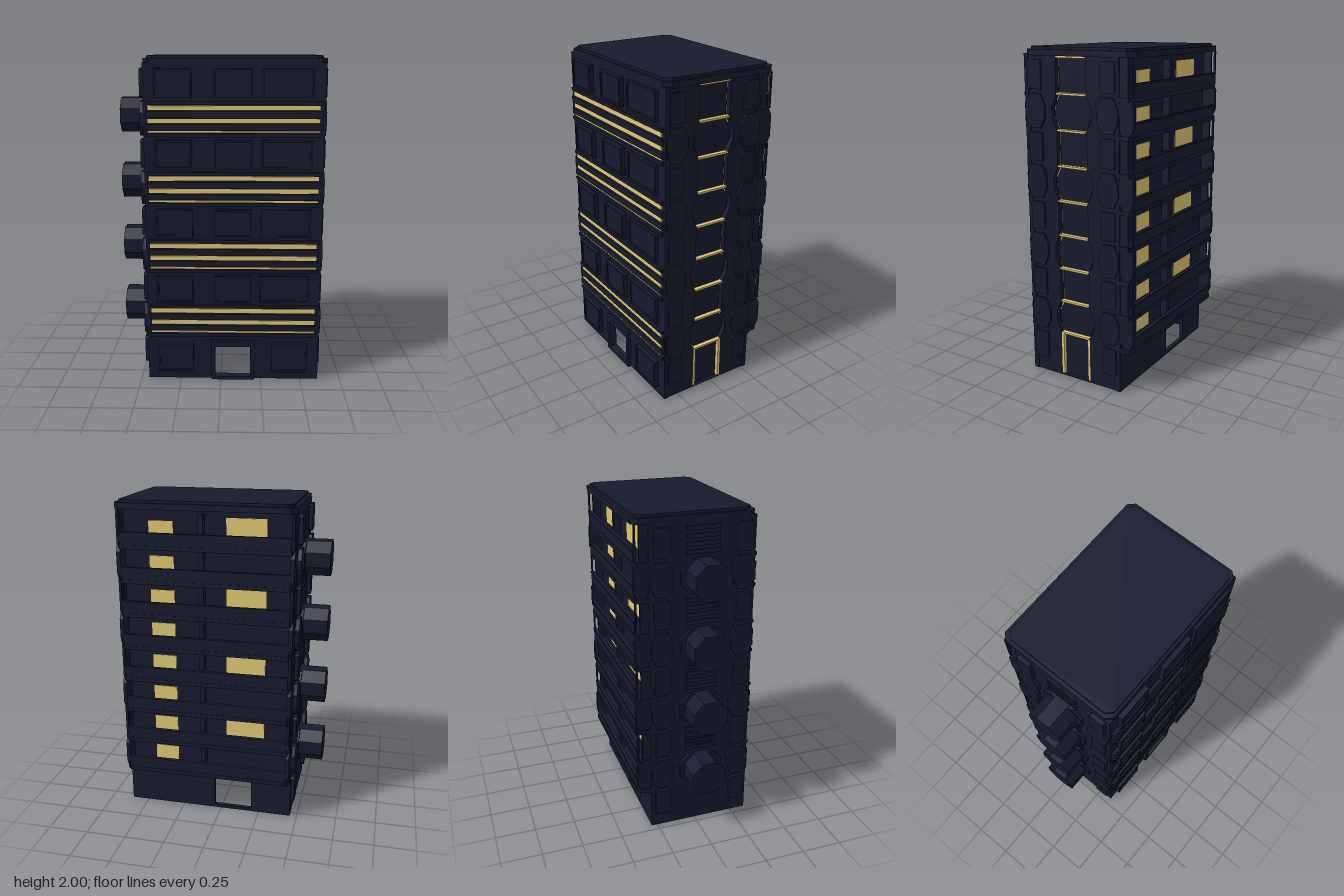
import * as THREE from 'three';

const navy = new THREE.MeshStandardMaterial({ color: 0x171a2d, side: THREE.DoubleSide });
const glow = new THREE.MeshStandardMaterial({ color: 0xe0c870, side: THREE.DoubleSide });
const FLOOR = 0.208, BASE = 0.285, FLOORS = 8;
const Z_MID = 0.03; // centre line of the side columns

export function createModel() {
  const root = new THREE.Group();
  root.name = 'apartmentTower';

  const add = (name, geo, mat = navy) => {
    const mesh = new THREE.Mesh(geo, mat);
    mesh.name = name;
    root.add(mesh);
    return mesh;
  };
  // Box given by its limits
  const box = (name, x0, x1, y0, y1, z0, z1, mat) => {
    const g = new THREE.BoxGeometry(x1 - x0, y1 - y0, z1 - z0);
    g.translate((x0 + x1) / 2, (y0 + y1) / 2, (z0 + z1) / 2);
    return add(name, g, mat);
  };
  const toShape = (pts, holes = []) => {
    const s = new THREE.Shape(pts.map(p => new THREE.Vector2(...p)));
    for (const h of holes) s.holes.push(new THREE.Path(h.map(p => new THREE.Vector2(...p))));
    return s;
  };
  const extrude = (shape, depth) => new THREE.ExtrudeGeometry(shape, { depth, bevelEnabled: false });
  const rect = (a0, a1, b0, b1) => [[a0, b0], [a1, b0], [a1, b1], [a0, b1]];
  const chamfered = (a0, a1, b0, b1, ca, cb = ca) => [
    [a0 + ca, b0], [a1 - ca, b0], [a1, b0 + cb], [a1, b1 - cb],
    [a1 - ca, b1], [a0 + ca, b1], [a0, b1 - cb], [a0, b0 + cb]];
  // Plate from x,y points, thick in z
  const facePlate = (name, pts, z0, z1, holes, mat) =>
    add(name, extrude(toShape(pts, holes), z1 - z0).translate(0, 0, z0), mat);
  // Plate from z,y points, thick in x
  const sidePlate = (name, pts, x0, x1, holes = [], mat) => {
    const flip = list => list.map(([z, y]) => [-z, y]);
    const g = extrude(toShape(flip(pts), holes.map(flip)), x1 - x0);
    return add(name, g.rotateY(Math.PI / 2).translate(x0, 0, 0), mat);
  };
  // Plate from x,z points, thick in y
  const planPlate = (name, pts, y0, y1) => {
    const g = extrude(toShape(pts.map(([x, z]) => [x, -z])), y1 - y0);
    return add(name, g.rotateX(-Math.PI / 2).translate(0, y0, 0));
  };

  // Hollow shell with a doorway at front and back, open underneath
  facePlate('frontWall', rect(-0.455, 0.61, 0, 1.96), 0.32, 0.35, [rect(-0.035, 0.185, 0.02, 0.22)]);
  facePlate('backWall', rect(-0.455, 0.61, 0, 1.96), -0.29, -0.265, [rect(-0.2, 0.04, 0.02, 0.22)]);
  sidePlate('rightWall', rect(-0.29, 0.35, 0, 1.96), -0.455, -0.43);

  // Roof with chamfered corners and a slightly raised lid
  planPlate('roofSlab', chamfered(-0.455, 0.615, -0.38, 0.35, 0.035), 1.95, 1.985);
  planPlate('roofLid', chamfered(-0.435, 0.595, -0.36, 0.335, 0.035), 1.985, 2);

  // Front doorway surround
  facePlate('doorFrame', rect(-0.06, 0.21, 0, 0.26), 0.35, 0.372, [rect(-0.035, 0.185, 0.02, 0.22)]);

  // Framed panel on the front
  const frontPanel = (x0, x1, y0, y1, depth) => {
    box('frontPanel', x0, x1, y0, y1, 0.35, 0.35 + depth);
    facePlate('frontPanelRim', rect(x0, x1, y0, y1), 0.35 + depth, 0.358 + depth,
      [rect(x0 + 0.012, x1 - 0.012, y0 + 0.012, y1 - 0.012)]);
  };
  frontPanel(-0.39, -0.17, 0.055, 0.24, 0.02);
  frontPanel(0.315, 0.54, 0.055, 0.24, 0.02);

  // Front floors alternate between lit louvres and panels
  for (let k = 0; k < FLOORS; k++) {
    const y = BASE + k * FLOOR;
    if (k % 2 === 0) {
      for (const [a, b] of [[0.025, 0.035], [0.08, 0.106], [0.155, 0.182]])
        box('frontLightStrip', -0.43, 0.58, y + a, y + b, 0.315, 0.358, glow);
      for (const [a, b] of [[0, 0.02], [0.04, 0.075], [0.111, 0.15], [0.187, 0.207]])
        box('frontSlat', -0.44, 0.595, y + a, y + b, 0.35, 0.366);
    } else {
      frontPanel(-0.39, -0.17, y + 0.02, y + 0.19, 0.02);
      frontPanel(-0.04, 0.185, y + 0.02, y + 0.19, 0.02);
      frontPanel(0.24, 0.54, y + 0.02, y + 0.19, 0.01);
    }
  }

  // Left side: a column of alternating octagonal and square bays outlined in light
  const bay = (k, inset) => {
    const y = BASE + k * FLOOR;
    return k % 2 === 0
      ? chamfered(Z_MID - 0.135 + inset, Z_MID + 0.135 - inset, y + inset * 0.7, y + FLOOR - inset * 0.7, 0.033, 0.07)
      : rect(Z_MID - 0.104 + inset, Z_MID + 0.104 - inset, y + inset * 0.7, y + FLOOR - inset * 0.7);
  };
  const bays = [];
  for (let k = 0; k < FLOORS; k++) bays.push(bay(k, 0.001));
  bays.push(rect(Z_MID - 0.104, Z_MID + 0.104, 0.004, BASE - 0.002));
  sidePlate('leftWall', rect(-0.29, 0.35, 0, 1.96), 0.575, 0.605, bays);
  box('leftLightBacking', 0.55, 0.554, 0.01, 1.95, Z_MID - 0.135, Z_MID + 0.135, glow);
  for (let k = 0; k < FLOORS; k++) {
    sidePlate('leftBayPanel', bay(k, 0.011), 0.554, 0.585);
    const y = BASE + k * FLOOR;
    box('leftLightLedge', 0.56, 0.608, y - 0.006, y + 0.006, Z_MID - 0.1, Z_MID + 0.1, glow);
  }
  box('leftTopLight', 0.56, 0.608, 1.94, 1.95, Z_MID - 0.1, Z_MID + 0.1, glow);
  box('leftDoor', 0.554, 0.585, 0.005, 0.268, Z_MID - 0.086, Z_MID + 0.086);
  for (const s of [-1, 1])
    box('leftDoorLight', 0.56, 0.606, 0.01, 0.28, Z_MID + s * 0.096 - 0.008, Z_MID + s * 0.096 + 0.008, glow);

  // Raised plates flanking the column on both sides
  const flank = (x0, x1) => {
    for (let k = -1; k < FLOORS; k++) {
      const y = BASE + k * FLOOR;
      for (const [z0, z1] of [[-0.285, -0.15], [0.21, 0.345]]) {
        if (k >= 0 && k % 2 === 0)
          sidePlate('sidePlate', chamfered(z0, z1, y + 0.005, y + FLOOR - 0.005, 0.03, 0.06), x0, x1);
        else
          sidePlate('sidePanel', chamfered(z0 + 0.02, z1 - 0.02, y + 0.02, y + FLOOR - 0.02, 0.008), x0, x1);
      }
    }
  };
  flank(0.605, 0.618);
  flank(-0.478, -0.455);

  // Right side: octagonal pods with louvred panels between
  for (let k = 0; k < FLOORS; k++) {
    const y = BASE + k * FLOOR;
    if (k % 2 === 0) {
      sidePlate('pod', chamfered(Z_MID - 0.108, Z_MID + 0.105, y, y + 0.21, 0.062), -0.625, -0.455);
      sidePlate('podCollar', chamfered(Z_MID - 0.135, Z_MID + 0.135, y, y + 0.208, 0.06), -0.475, -0.455);
    } else {
      for (let i = 0; i < 4; i++)
        box('rightSlat', -0.464, -0.455, y + 0.025 + i * 0.045, y + 0.05 + i * 0.045, Z_MID - 0.1, Z_MID + 0.1);
    }
  }

  // Back balconies with parapets, dividers, lit windows and end supports
  for (let k = 0; k < FLOORS; k++) {
    const y = BASE + k * FLOOR;
    planPlate('balconySlab', [[-0.455, -0.28], [-0.455, -0.35], [-0.43, -0.375],
      [0.585, -0.375], [0.61, -0.35], [0.61, -0.28]], y - 0.025, y);
    box('balconyParapet', -0.43, 0.585, y, y + 0.065, -0.372, -0.358);
    box('balconyRail', -0.435, 0.59, y + 0.065, y + 0.075, -0.378, -0.354);
    box('balconyDivider', 0.09, 0.12, y, y + FLOOR - 0.025, -0.335, -0.29);
    box('smallWindow', 0.28, 0.43, y + 0.03, y + 0.135, -0.294, -0.288, glow);
    if (k % 2 === 1) box('wideWindow', -0.28, -0.04, y + 0.03, y + 0.165, -0.294, -0.288, glow);
    for (const x of [-0.44, 0.595]) {
      if (k % 2 === 0)
        sidePlate('balconyEndPlate', chamfered(-0.376, -0.285, y, y + FLOOR, 0.02, 0.04), x - 0.012, x + 0.012);
      else {
        box('balconyPost', x - 0.008, x + 0.008, y, y + FLOOR, -0.37, -0.36);
        box('balconyEndPanel', x - 0.008, x + 0.008, y, y + FLOOR, -0.342, -0.29);
      }
    }
  }
  // Sloped brackets under the lowest balcony
  for (const x of [-0.45, 0.585])
    sidePlate('balconyBracket', [[-0.285, 0.235], [-0.285, 0.262], [-0.33, 0.262]], x, x + 0.02);

  return root;
}
